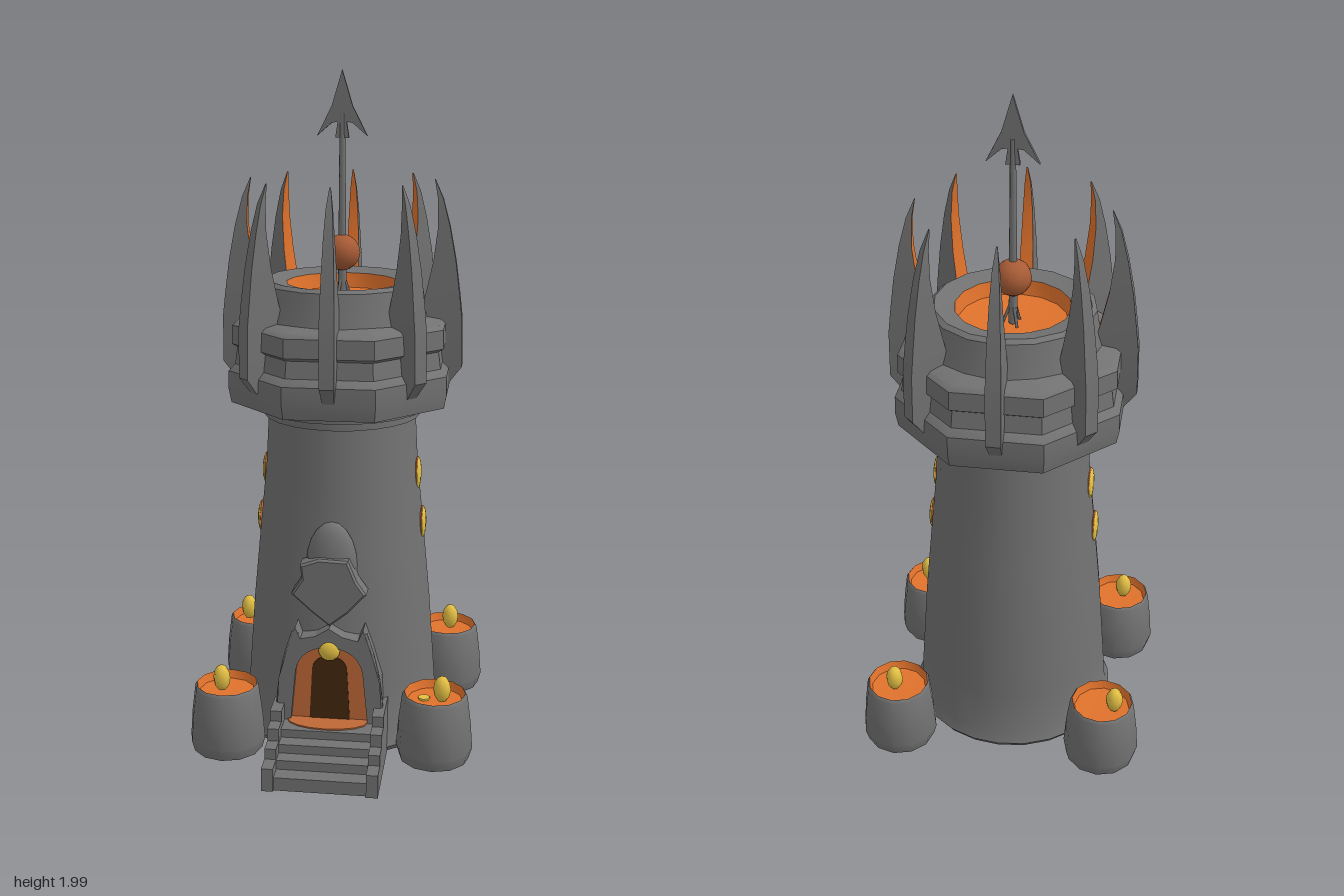
import * as THREE from 'three';
import { toCreasedNormals } from 'three/addons/utils/BufferGeometryUtils.js';

const paint = (name, color) => {
  const m = new THREE.MeshStandardMaterial({ color });
  m.name = name;
  return m;
};

export function createModel() {
  const stone = paint('stone grey', 0x727272);
  const orange = paint('glowing orange', 0xe0722c);
  const ember = paint('dim ember orange', 0xbe6836);
  const gold = paint('gold', 0xe4c044);
  const copper = paint('copper', 0xa85c36);
  const dark = paint('dark doorway', 0x42270e);
  const model = new THREE.Group();
  model.name = 'tower';
  const Z = -0.07; // tower axis

  const add = (name, geo, mat, x = 0, y = 0, z = 0, parent = model) => {
    const mesh = new THREE.Mesh(geo, mat);
    mesh.name = name;
    mesh.position.set(x, y, z);
    parent.add(mesh);
    return mesh;
  };
  const lathe = (pts, seg, phase = 0) => toCreasedNormals(
    new THREE.LatheGeometry(pts.map(p => new THREE.Vector2(...p)), seg, phase), 0.6);
  const outline = pts => new THREE.Shape(pts.map(p => new THREE.Vector2(...p)));
  const extrude = (shape, depth) =>
    new THREE.ExtrudeGeometry(shape, { depth, bevelEnabled: false, curveSegments: 8 });

  // Tapered shaft with a flared foot and two collar bands under the crown
  add('shaft', lathe([[0, 0.012], [0.3, 0.012], [0.312, 0.03], [0.298, 0.065], [0.288, 0.2], [0.272, 0.42],
    [0.25, 0.65], [0.23, 0.85], [0.222, 1.0], [0.235, 1.0], [0.235, 1.02], [0.257, 1.025],
    [0.257, 1.055]], 24), stone, 0, 0, Z);

  // Crown: eight-sided skirt and ledge, corners between the spikes, and a round upper drum
  const eighth = Math.PI / 8;
  add('crownUnderside', lathe([[0.25, 1.057], [0.338, 1.05]], 8, eighth), ember, 0, 0, Z);
  add('crownSkirt', lathe([[0.338, 1.05], [0.346, 1.09], [0.345, 1.145], [0.325, 1.165], [0.318, 1.215],
    [0.334, 1.225], [0.332, 1.28], [0.318, 1.292], [0.23, 1.305]], 8, eighth), stone, 0, 0, Z);
  add('crownDrum', lathe([[0.262, 1.285], [0.247, 1.33], [0.236, 1.395], [0.222, 1.405],
    [0.165, 1.393]], 16), stone, 0, 0, Z);
  add('crownBowl', lathe([[0.165, 1.393], [0.155, 1.35], [0, 1.335]], 16), orange, 0, 0, Z);

  // Curved spikes: loft of rectangles [y, inner radius, outer radius, half width]
  const levels = [[1.09, 0.27, 0.312, 0.016], [1.15, 0.25, 0.357, 0.021], [1.29, 0.228, 0.355, 0.022],
    [1.36, 0.246, 0.347, 0.021], [1.46, 0.268, 0.334, 0.018], [1.56, 0.28, 0.315, 0.014],
    [1.64, 0.278, 0.294, 0.009], [1.695, 0.268, 0.27, 0.002]];
  const loft = () => {
    const rings = levels.map(([y, a, b, w]) => [[-w, y, a], [-w, y, b], [w, y, b], [w, y, a]]);
    const pos = [];
    const quad = (a, b, c, d) => pos.push(...a, ...b, ...c, ...a, ...c, ...d);
    const geo = new THREE.BufferGeometry();
    for (let side = 0; side < 4; side++) { // the last side faces the tower axis
      const start = pos.length / 3, n = (side + 1) % 4;
      for (let i = 0; i < rings.length - 1; i++)
        quad(rings[i][side], rings[i][n], rings[i + 1][n], rings[i + 1][side]);
      geo.addGroup(start, pos.length / 3 - start, side === 3 ? 1 : 0);
    }
    const start = pos.length / 3;
    quad(...[...rings[0]].reverse());
    quad(...rings[rings.length - 1]);
    geo.addGroup(start, pos.length / 3 - start, 0);
    geo.setAttribute('position', new THREE.Float32BufferAttribute(pos, 3));
    geo.computeVertexNormals();
    const groups = geo.groups;
    const out = toCreasedNormals(geo, 0.6);
    out.clearGroups();
    groups.forEach(g => out.addGroup(g.start, g.count, g.materialIndex));
    return out;
  };
  const spike = loft();
  for (let i = 0; i < 8; i++)
    add('crownSpike', spike, [stone, orange], 0, 0, Z).rotation.y = i * Math.PI / 4;

  // Mast with copper ball, small feet and barbed arrow point
  add('mast', new THREE.CylinderGeometry(0.008, 0.013, 0.54, 8), stone, 0, 1.61, Z);
  add('mastBall', new THREE.SphereGeometry(0.053, 12, 8), copper, 0, 1.48, Z);
  for (let i = 0; i < 3; i++) {
    const leg = new THREE.Group();
    leg.name = 'mastFoot';
    leg.position.set(0, 1.38, Z);
    leg.rotation.y = i * Math.PI * 2 / 3;
    add('mastFootBar', new THREE.CylinderGeometry(0.006, 0.004, 0.09, 6), stone, 0.014, 0, 0, leg)
      .rotation.z = 0.35;
    model.add(leg);
  }
  add('arrowPoint', extrude(outline([[0, 2], [-0.03, 1.9], [-0.073, 1.815], [-0.03, 1.852],
    [-0.013, 1.855], [-0.02, 1.81], [0.02, 1.81], [0.013, 1.855], [0.03, 1.852], [0.073, 1.815],
    [0.03, 1.9]]), 0.012), stone, 0, 0, Z - 0.006);

  // Round side windows
  for (const s of [-1, 1]) for (const [y, r] of [[0.815, 0.232], [0.66, 0.249]]) {
    const rim = add('windowRim', new THREE.SphereGeometry(0.046, 12, 8), ember, s * (r - 0.003), y, Z + 0.005);
    rim.scale.set(0.22, 1.12, 0.94);
    const pane = add('window', new THREE.SphereGeometry(0.043, 12, 8), gold, s * r, y, Z + 0.005);
    pane.scale.set(0.24, 1.12, 1);
  }

  // Corner braziers, hollow below, with glowing dishes and flames
  const pot = lathe([[0, 0.05], [0.055, 0.045], [0.068, 0.008], [0.105, 0.008], [0.114, 0.04],
    [0.108, 0.12], [0.097, 0.205], [0.091, 0.213]], 12);
  const dish = lathe([[0.091, 0.213], [0.083, 0.188], [0, 0.182]], 12);
  const spots = [[-0.312, -0.342, -0.35, -0.353], [0.317, -0.345, 0.326, -0.356],
    [-0.316, 0.192, -0.33, 0.2], [0.308, 0.18, 0.33, 0.197]];
  for (const [x, z, fx, fz] of spots) {
    add('brazier', pot, stone, x, 0, z);
    add('brazierDish', dish, orange, x, 0, z);
    add('flame', new THREE.SphereGeometry(0.026, 8, 6), gold, fx, 0.232, fz).scale.y = 1.6;
  }
  add('emberPatch', new THREE.CylinderGeometry(0.018, 0.018, 0.006, 7), gold, 0.275, 0.188, 0.17);

  // Stairs between stepped side walls
  [[0.05, 0.45], [0.078, 0.4], [0.105, 0.355], [0.13, 0.31]].forEach(([y, z]) =>
    add('step', new THREE.BoxGeometry(0.28, y - 0.01, z - 0.1), stone, 0, (y + 0.01) / 2, (z + 0.1) / 2));
  const wall = extrude(outline([[0.1, 0.01], [0.458, 0.01], [0.458, 0.08], [0.4, 0.08], [0.4, 0.112],
    [0.35, 0.112], [0.35, 0.15], [0.3, 0.15], [0.3, 0.182], [0.1, 0.182]]), 0.034);
  for (const x of [-0.133, 0.167])
    add('stairWall', wall, stone, x, 0, 0).rotation.y = -Math.PI / 2;
  const mat = add('doorMat', new THREE.CylinderGeometry(0.12, 0.12, 0.004, 16), ember, -0.005, 0.132, 0.24);
  mat.scale.z = 0.5;

  // Door: arched frame with horned posts, orange reveal and dark opening
  const arch = (w, y0, y1, top) => {
    const s = new THREE.Shape();
    s.moveTo(-w, y0);
    s.lineTo(w, y0);
    s.lineTo(w * 0.86, y1);
    s.quadraticCurveTo(w * 0.72, top, 0, top);
    s.quadraticCurveTo(-w * 0.72, top, -w * 0.86, y1);
    return s;
  };
  const frame = outline([[-0.158, 0.1], [0.158, 0.1], [0.15, 0.26], [0.125, 0.35], [0.1, 0.425],
    [0.085, 0.39], [0.04, 0.4], [0, 0.425], [-0.04, 0.4], [-0.085, 0.39], [-0.1, 0.425],
    [-0.125, 0.35], [-0.15, 0.26]]);
  frame.holes.push(arch(0.115, 0.12, 0.29, 0.365));
  add('doorFrame', extrude(frame, 0.13), stone, 0, 0, 0.115);
  add('doorReveal', extrude(arch(0.118, 0.12, 0.29, 0.368), 0.006), ember, 0, 0, 0.222);
  add('doorway', extrude(arch(0.06, 0.13, 0.295, 0.332), 0.005), dark, 0, 0, 0.226);
  add('doorLamp', new THREE.SphereGeometry(0.032, 12, 8), gold, 0, 0.355, 0.238).scale.z = 0.5;
  // Raised ribs along the frame posts
  for (const s of [-1, 1]) {
    const path = new THREE.CatmullRomCurve3([[0.15, 0.1], [0.145, 0.22], [0.125, 0.33], [0.1, 0.41]]
      .map(([x, y]) => new THREE.Vector3(s * x, y, 0.233)));
    add('doorRib', new THREE.TubeGeometry(path, 10, 0.012, 6), stone);
  }

  // Plain shield above the door on a rounded swelling of the wall
  add('shieldMount', new THREE.SphereGeometry(1, 16, 10), stone, 0, 0.6, 0.175).scale.set(0.075, 0.13, 0.045);
  add('shield', new THREE.ExtrudeGeometry(outline([[-0.08, 0.61], [-0.075, 0.57], [-0.105, 0.525],
    [-0.05, 0.475], [0, 0.435], [0.05, 0.475], [0.1, 0.53], [0.075, 0.565], [0.05, 0.625], [-0.03, 0.628]]),
  { depth: 0.05, bevelEnabled: true, bevelSize: 0.006, bevelThickness: 0.008, bevelSegments: 1 }),
  stone, 0, 0, 0.178);

  return model;
}
